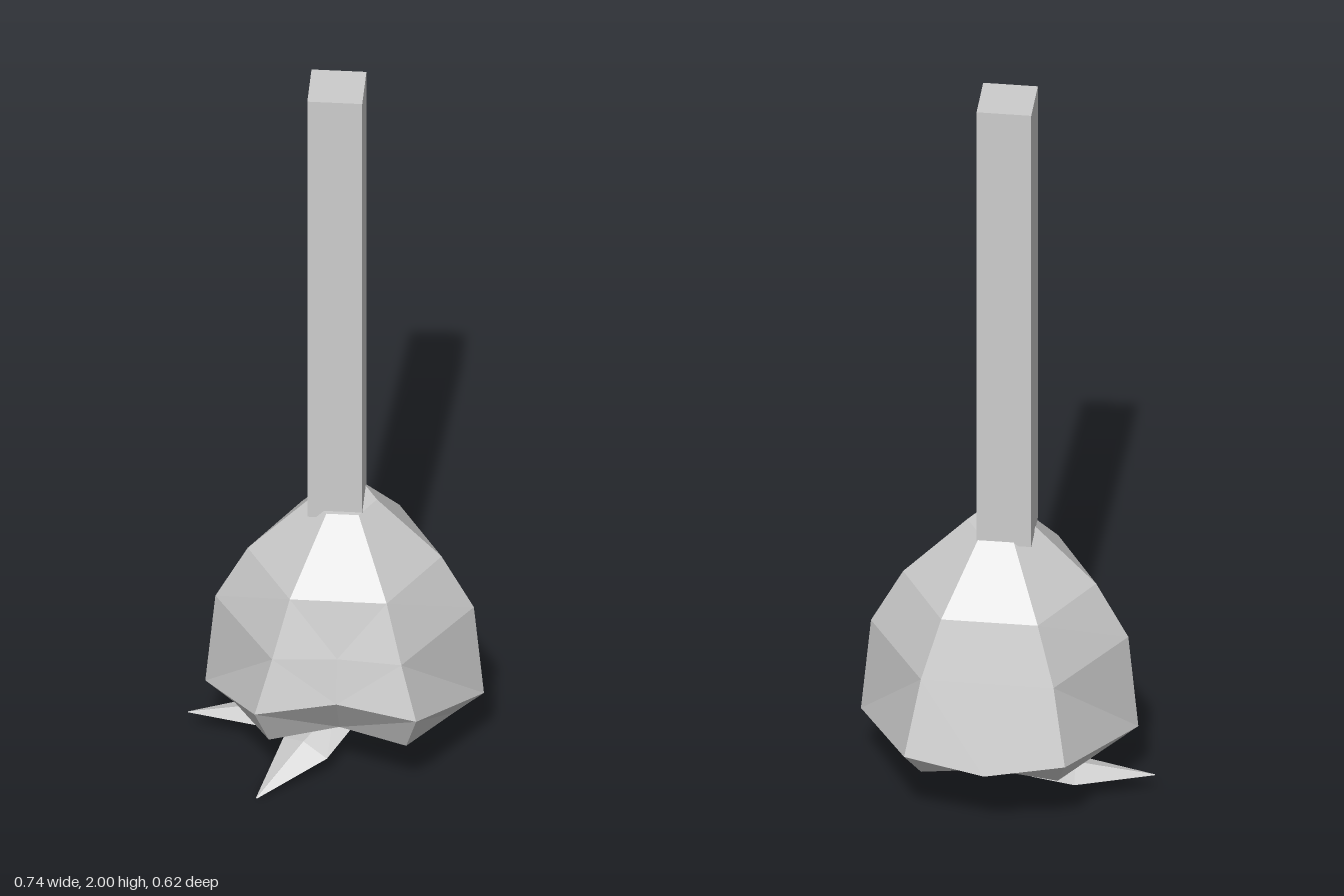
import * as THREE from 'three';

// Joins loops of points into a faceted skin, with both ends closed.
function loft(loops, material, name) {
  const out = [];
  const tri = (a, b, c) => out.push(...a, ...b, ...c);
  const n = loops[0].length;
  const mid = (loop) => [0, 1, 2].map((k) => loop.reduce((s, p) => s + p[k], 0) / n);
  const first = loops[0], last = loops[loops.length - 1];
  for (let j = 0; j < n; j++) {
    const k = (j + 1) % n;
    tri(mid(first), first[k], first[j]);
    tri(mid(last), last[j], last[k]);
    for (let i = 0; i < loops.length - 1; i++) {
      const [a, b, c, d] = [loops[i][j], loops[i][k], loops[i + 1][k], loops[i + 1][j]];
      // mirrored diagonals keep the left and right halves symmetrical
      if (j % 2) { tri(a, b, c); tri(a, c, d); } else { tri(a, b, d); tri(b, c, d); }
    }
  }
  const geometry = new THREE.BufferGeometry();
  geometry.setAttribute('position', new THREE.Float32BufferAttribute(out, 3));
  geometry.computeVertexNormals();
  const mesh = new THREE.Mesh(geometry, material);
  mesh.name = name;
  return mesh;
}

// Half-ring of the bulb as side, front corner, front middle, back corner, back middle.
// Points are [distance from the middle plane, y, z]; the other half is mirrored.
function bulbLoop(side, front, frontMid, back, backMid) {
  const L = ([x, y, z]) => [0.02 + x, y, z];
  const R = ([x, y, z]) => [0.02 - x, y, z];
  return [L(side), L(front), L(frontMid), R(front), R(side), R(back), L(backMid), L(back)];
}

// Even six-sided ring round the bulb axis
function hexLoop(r, y) {
  const h = r * 0.87;
  return bulbLoop([r, y, 0.01], [r / 2, y, 0.01 + h], [0, y, 0.01 + h], [r / 2, y, 0.01 - h], [0, y, 0.01 - h]);
}

// Pointed leaf with a diamond section along a path of [x, y, z, halfWidth, halfThickness]
function leaf(path, material, name) {
  const pts = path.map((p) => new THREE.Vector3(p[0], p[1], p[2]));
  const up = new THREE.Vector3(0, 1, 0);
  const loops = path.map((p, i) => {
    const dir = pts[Math.min(i + 1, pts.length - 1)].clone().sub(pts[Math.max(i - 1, 0)]).normalize();
    const side = dir.clone().cross(up).normalize();
    const rise = side.clone().cross(dir).normalize();
    return [[1, 0], [0, -1], [-1, 0], [0, 1]].map(([s, t]) =>
      pts[i].clone().addScaledVector(side, s * p[3]).addScaledVector(rise, t * p[4]).toArray());
  });
  return loft(loops, material, name);
}

export function createModel() {
  const group = new THREE.Group();
  const grey = new THREE.MeshStandardMaterial({ color: 0xcccccc, flatShading: true, side: THREE.DoubleSide });
  grey.name = 'plainGrey';

  // Square post
  const post = new THREE.Mesh(new THREE.BoxGeometry(0.136, 1.265, 0.136), grey);
  post.position.y = 1.3675;
  post.name = 'post';
  group.add(post);

  // Bulb: shoulders, rim, then the underside turning in to a raised middle
  group.add(loft([
    hexLoop(0.08, 0.755),
    hexLoop(0.24, 0.59),
    bulbLoop([0.32, 0.44, 0.01], [0.16, 0.44, 0.268], [0, 0.44, 0.255], [0.165, 0.44, -0.245], [0, 0.44, -0.245]),
    bulbLoop([0.345, 0.18, 0.01], [0.2, 0.3, 0.31], [0, 0.32, 0.28], [0.2, 0.245, -0.3], [0, 0.21, -0.312]),
    bulbLoop([0.27, 0.115, 0.01], [0.17, 0.175, 0.24], [0, 0.18, 0.18], [0.17, 0.14, -0.2], [0, 0.16, -0.2]),
    bulbLoop([0.16, 0.085, 0.01], [0.12, 0.11, 0.09], [0, 0.18, 0.09], [0.12, 0.1, -0.08], [0, 0.16, -0.1]),
    bulbLoop([0.05, 0.11, 0.01], [0.035, 0.13, 0.04], [0, 0.18, 0.04], [0.035, 0.13, -0.03], [0, 0.16, -0.04]),
  ], grey, 'bulb'));

  // Two pointed leaves hanging from the underside
  group.add(leaf([
    [0.02, 0.16, -0.08, 0.03, 0.02],
    [-0.06, 0.1, -0.06, 0.07, 0.025],
    [-0.17, 0.065, -0.03, 0.07, 0.025],
    [-0.37, 0.06, -0.02, 0.002, 0.001],
  ], grey, 'sideLeaf'));
  group.add(leaf([
    [0.02, 0.16, -0.08, 0.03, 0.02],
    [0, 0.09, 0, 0.06, 0.025],
    [-0.07, 0.06, 0.11, 0.07, 0.025],
    [-0.18, 0.002, 0.25, 0.002, 0.001],
  ], grey, 'frontLeaf'));

  return group;
}
